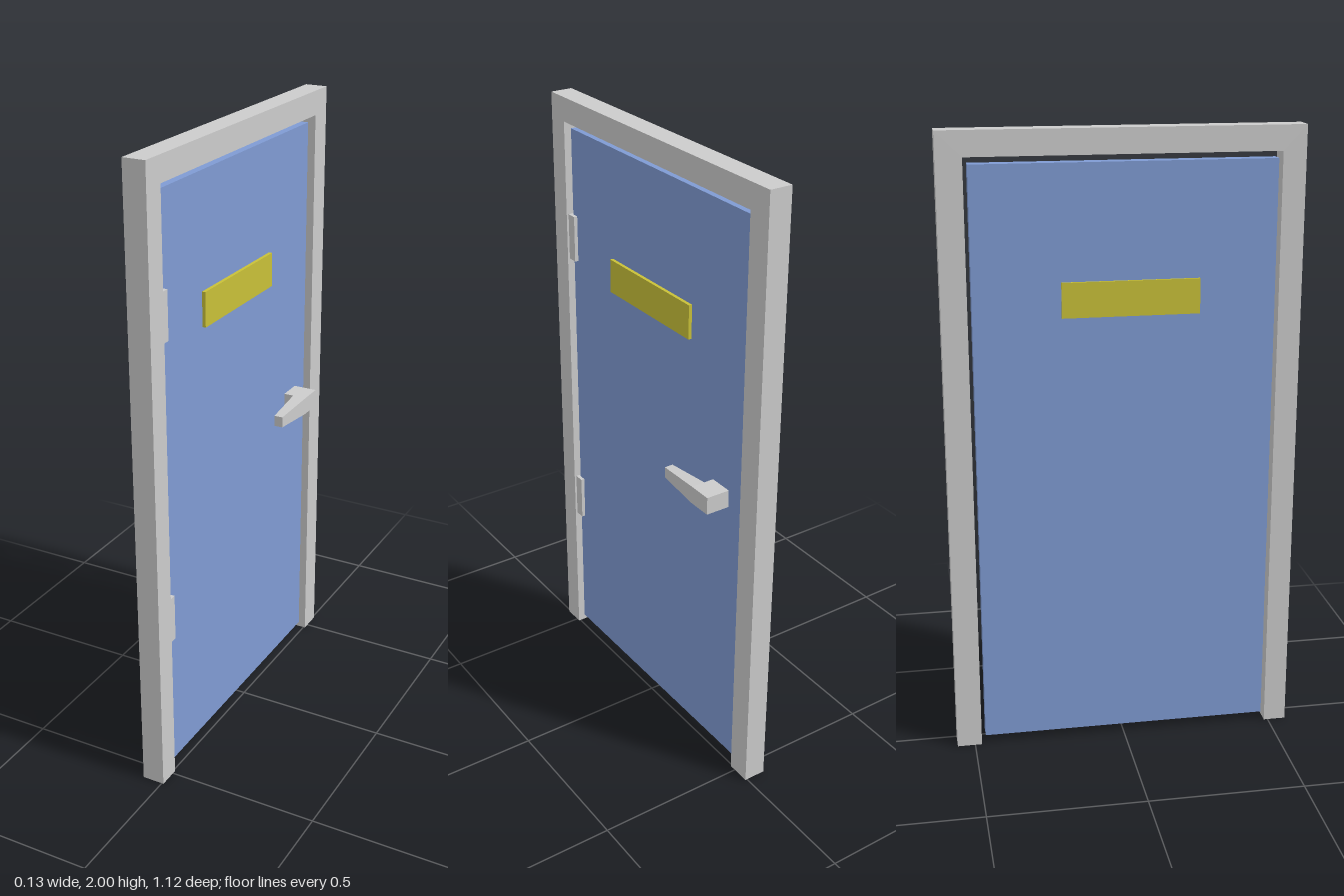
import * as THREE from 'three';

const mat = (color) => new THREE.MeshStandardMaterial({ color, flatShading: true });

export function createModel() {
  const model = new THREE.Group();
  model.name = 'door';
  const grey = mat(0xcccccc);
  const blue = mat(0x7f9bd3);
  const yellow = mat(0xc8c038);

  const add = (name, geometry, material) => {
    const mesh = new THREE.Mesh(geometry, material);
    mesh.name = name;
    model.add(mesh);
    return mesh;
  };
  // Box given by its extents on each axis
  const box = (name, [x0, x1], [y0, y1], [z0, z1], material) => {
    const mesh = add(name, new THREE.BoxGeometry(x1 - x0, y1 - y0, z1 - z0), material);
    mesh.position.set((x0 + x1) / 2, (y0 + y1) / 2, (z0 + z1) / 2);
    return mesh;
  };

  // Frame: one U-shaped extrusion, outline drawn in (-z, y)
  const back = -0.067, front = 0.006;
  const outline = [
    [-0.56, 0], [-0.487, 0], [-0.487, 1.922], [0.478, 1.922],
    [0.478, 0], [0.558, 0], [0.558, 2], [-0.56, 2],
  ].map(([x, y]) => new THREE.Vector2(x, y));
  const frameGeometry = new THREE.ExtrudeGeometry(new THREE.Shape(outline), {
    depth: front - back, bevelEnabled: false,
  });
  frameGeometry.rotateY(Math.PI / 2).translate(back, 0, 0);
  add('frame', frameGeometry, grey);

  // Door leaf, slightly inset in the frame
  const leaf = [-0.058, -0.013];
  box('doorLeaf', leaf, [0.027, 1.9], [-0.464, 0.477], blue);

  // Sign plates on both faces
  box('frontSign', [leaf[1], -0.002], [1.432, 1.542], [-0.192, 0.238], yellow);
  box('backSign', [-0.066, leaf[0]], [1.432, 1.542], [-0.192, 0.238], yellow);

  // Hinges
  for (const [name, y] of [['lowerHinge', 0.48], ['upperHinge', 1.463]]) {
    box(name, [leaf[1] - 0.005, -0.001], [y, y + 0.153], [0.453, 0.488], grey);
  }

  // Handle: square stem and a lever tapering towards its free end
  box('handleStem', [leaf[1], 0.066], [0.953, 1.011], [-0.396, -0.316], grey);
  const length = 0.157;
  const lever = new THREE.BoxGeometry(0.046, 0.058, length);
  const p = lever.attributes.position;
  for (let i = 0; i < p.count; i++) {
    if (p.getZ(i) > 0) {
      p.setX(i, p.getX(i) * 0.63);
      p.setY(i, p.getY(i) * 0.62);
    }
  }
  lever.computeVertexNormals();
  add('handleLever', lever, grey).position.set(0.043, 0.982, -0.316 + length / 2);

  return model;
}
